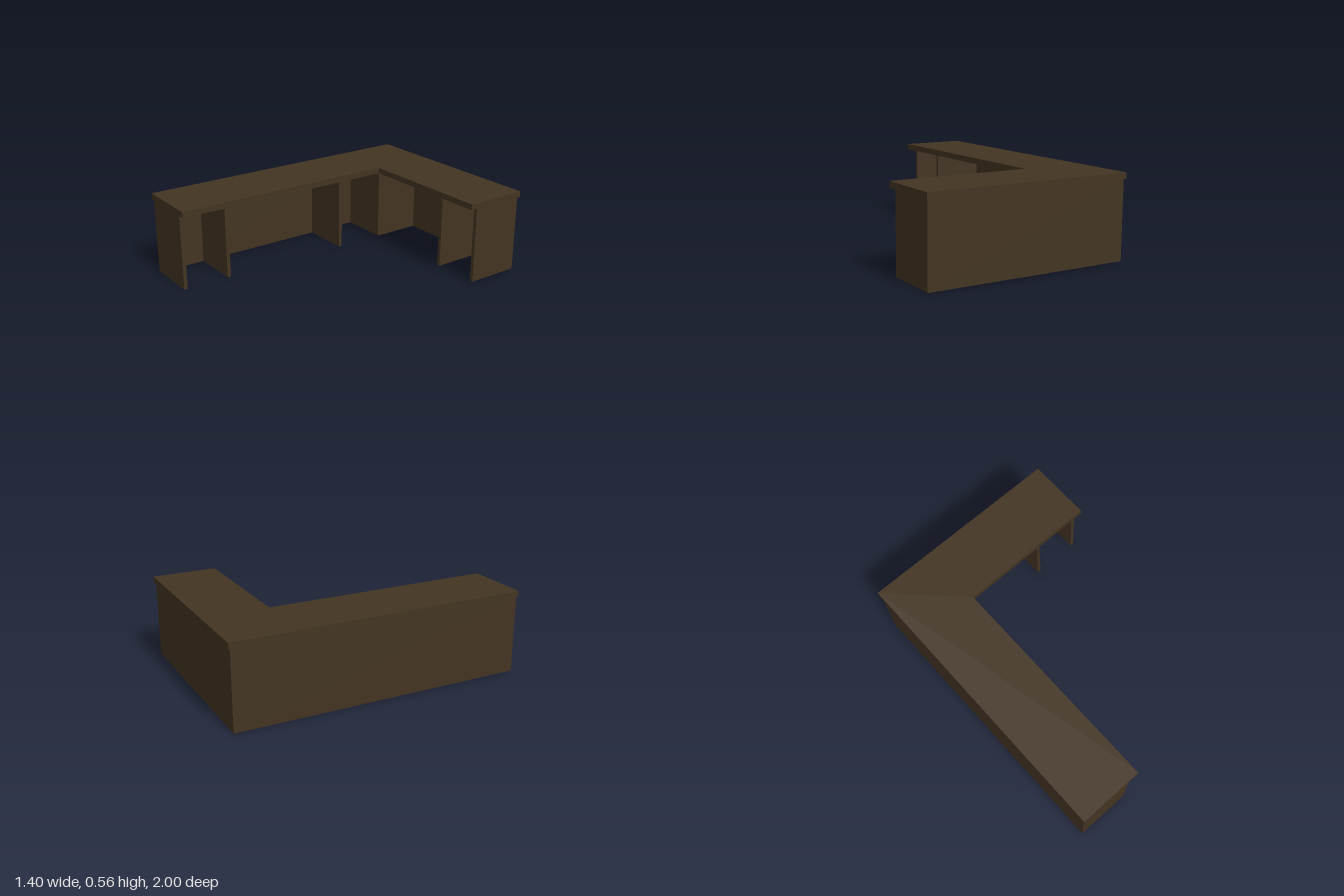
import * as THREE from 'three';

export function createModel() {
  const group = new THREE.Group();
  group.name = 'cornerCounter';
  const wood = new THREE.MeshStandardMaterial({ color: 0x433422 });
  wood.name = 'darkWood';

  const H = 0.52; // underside of the worktop
  const T = 0.025; // panel thickness

  // Upright panel spanning a rectangle of the floor
  function panel(name, x0, x1, z0, z1) {
    const mesh = new THREE.Mesh(new THREE.BoxGeometry(x1 - x0, H, z1 - z0), wood);
    mesh.position.set((x0 + x1) / 2, H / 2, (z0 + z1) / 2);
    mesh.name = name;
    group.add(mesh);
  }

  // L-shaped worktop, drawn in plan with shape y = -z
  const plan = [[-0.7, -1], [-0.255, -1], [-0.255, 0.56], [0.7, 0.56], [0.7, 1], [-0.7, 1]];
  const shape = new THREE.Shape(plan.map(([x, y]) => new THREE.Vector2(x, y)));
  const topGeometry = new THREE.ExtrudeGeometry(shape, { depth: 0.04, bevelEnabled: false });
  topGeometry.rotateX(-Math.PI / 2);
  const worktop = new THREE.Mesh(topGeometry, wood);
  worktop.position.y = H;
  worktop.name = 'worktop';
  group.add(worktop);

  // Outer walls
  const wallX = -0.69, wallZ = -0.987;
  panel('sideWall', wallX, wallX + T, wallZ, 0.993);
  panel('backWall', wallX + T, 0.69, wallZ, wallZ + T);

  // Long wing: end panel, two dividers and the corner box front
  const inX = wallX + T, frontX = -0.32;
  panel('longWingEnd', inX, frontX, 0.993 - T, 0.993);
  panel('longWingDividerOuter', inX, frontX, 0.645, 0.645 + T);
  panel('longWingDividerInner', inX, frontX, -0.278, -0.278 + T);
  panel('cornerBoxFront', inX, frontX, -0.615 - T, -0.615);

  // Short wing: corner box side, divider and end panel
  const inZ = wallZ + T, frontZ = -0.615;
  panel('cornerBoxSide', frontX - T, frontX, inZ, frontZ - T);
  panel('shortWingDivider', 0.342, 0.342 + T, inZ, frontZ);
  panel('shortWingEnd', 0.69 - T, 0.69, inZ, frontZ);

  return group;
}
